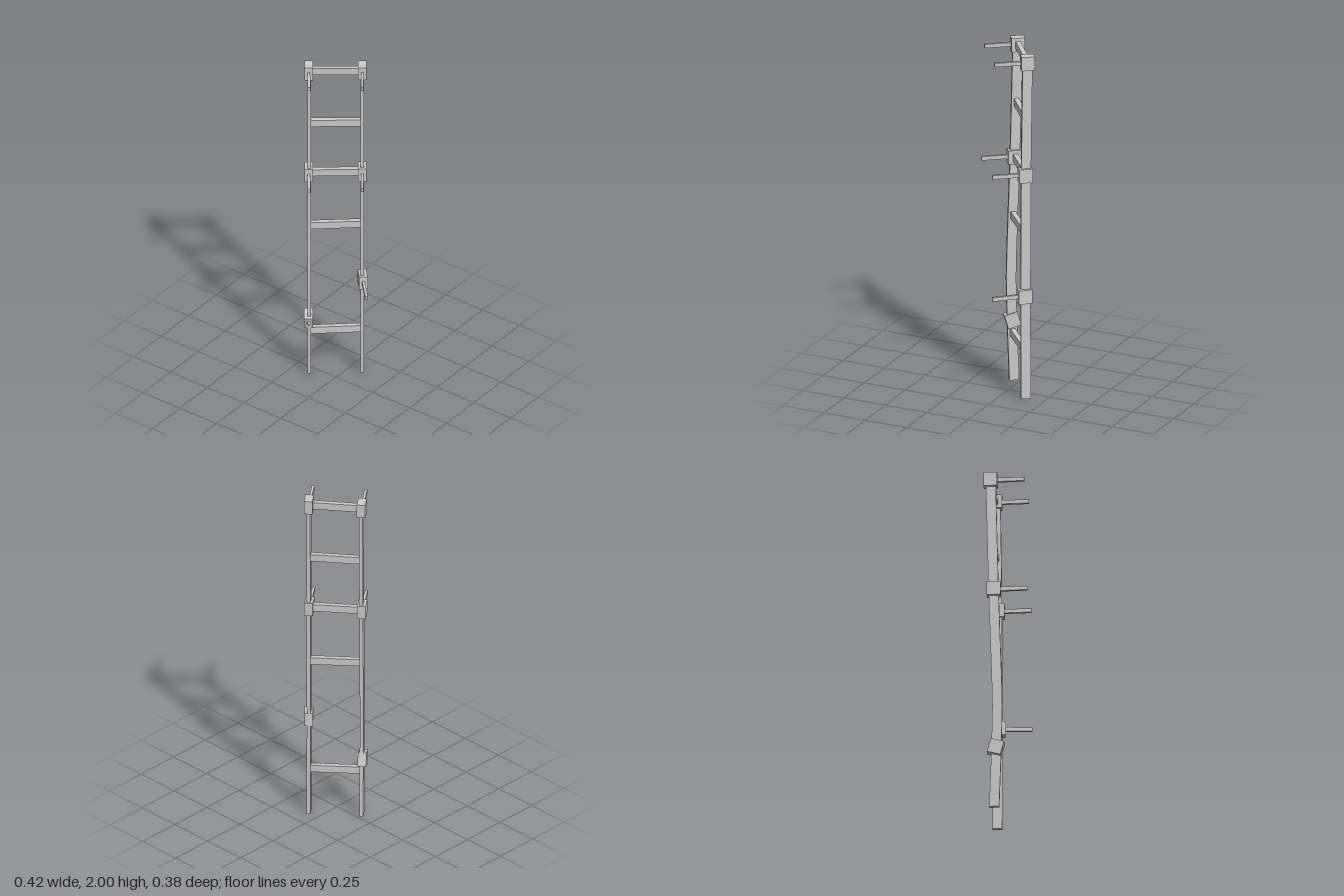
import * as THREE from 'three';

const HALF = 0.143; // rail distance from the middle
// Rail centre lines as [height, depth]
const LEFT = [[0, -0.06], [0.35, -0.048], [0.6, -0.043], [0.75, -0.046], [1.3, -0.064], [2, -0.08]];
const RIGHT = [[0, -0.069], [0.6, -0.068], [1.3, -0.07], [2, -0.079]];

// Depth of a rail at height y
function depthAt(line, y) {
  for (let i = 1; i < line.length; i++) {
    const [y0, z0] = line[i - 1], [y1, z1] = line[i];
    if (y <= y1) return THREE.MathUtils.lerp(z0, z1, (y - y0) / (y1 - y0));
  }
  return line[line.length - 1][1];
}

export function createModel() {
  const mat = new THREE.MeshStandardMaterial({ color: 0xcccccc, flatShading: true });
  const model = new THREE.Group();
  model.name = 'ladder';
  const ladder = new THREE.Group();
  ladder.name = 'ladderFrame';
  ladder.rotation.y = 0.6435;
  model.add(ladder);

  const add = (geo, name, parent = ladder) => {
    const mesh = new THREE.Mesh(geo, mat);
    mesh.name = name;
    parent.add(mesh);
    return mesh;
  };

  // Slightly bowed side rails
  const rail = (name, x, line) => {
    const geo = new THREE.BoxGeometry(0.02, 1.99, 0.054, 1, 20, 1).translate(0, 0.995, 0);
    const p = geo.attributes.position;
    for (let i = 0; i < p.count; i++) p.setZ(i, p.getZ(i) + depthAt(line, p.getY(i)));
    geo.computeVertexNormals();
    add(geo, name).position.x = x;
  };
  rail('leftRail', HALF, RIGHT);
  rail('rightRail', -HALF - 0.002, LEFT);

  // Rungs run between the rail centre lines
  [0.28, 0.965, 1.305, 1.625, 1.96].forEach((y, i) => {
    const a = depthAt(LEFT, y), b = depthAt(RIGHT, y);
    const rung = add(new THREE.BoxGeometry(0.275, 0.042, 0.027), `rung${i + 1}`);
    rung.position.set(0, y, (a + b) / 2);
    rung.rotation.y = -Math.atan2(b - a, 2 * HALF);
  });

  // Clamp blocks, each carrying a forward peg
  const clamp = (name, x, y, z, yaw = 0) => {
    const g = new THREE.Group();
    g.name = name;
    g.position.set(x, y, z);
    g.rotation.y = yaw;
    add(new THREE.BoxGeometry(0.047, 0.08, 0.075), 'clampBlock', g);
    add(new THREE.BoxGeometry(0.015, 0.022, 0.16), 'peg', g).position.z = 0.104;
    ladder.add(g);
  };
  clamp('topLeftClamp', HALF, 1.96, -0.08);
  clamp('topRightClamp', -0.147, 1.96, -0.08);
  clamp('middleLeftClamp', HALF, 1.305, -0.067);
  clamp('middleRightClamp', -0.147, 1.305, -0.062);
  clamp('lowerLeftClamp', 0.146, 0.6, -0.062, 0.11);

  // Loose tilted clamp with an empty peg socket
  const loose = new THREE.Group();
  loose.name = 'looseClamp';
  loose.position.set(-0.149, 0.352, -0.051);
  loose.rotation.x = 0.28;
  ladder.add(loose);
  const rect = (Type, w, h) => new Type([
    new THREE.Vector2(-w, -h), new THREE.Vector2(w, -h), new THREE.Vector2(w, h), new THREE.Vector2(-w, h),
  ]);
  const face = rect(THREE.Shape, 0.0235, 0.04);
  face.holes.push(rect(THREE.Path, 0.0075, 0.011));
  add(new THREE.ExtrudeGeometry(face, { depth: 0.015, bevelEnabled: false }), 'socketFace', loose).position.z = 0.0225;
  add(new THREE.BoxGeometry(0.047, 0.08, 0.06), 'clampBlock', loose).position.z = -0.0075;

  return model;
}
